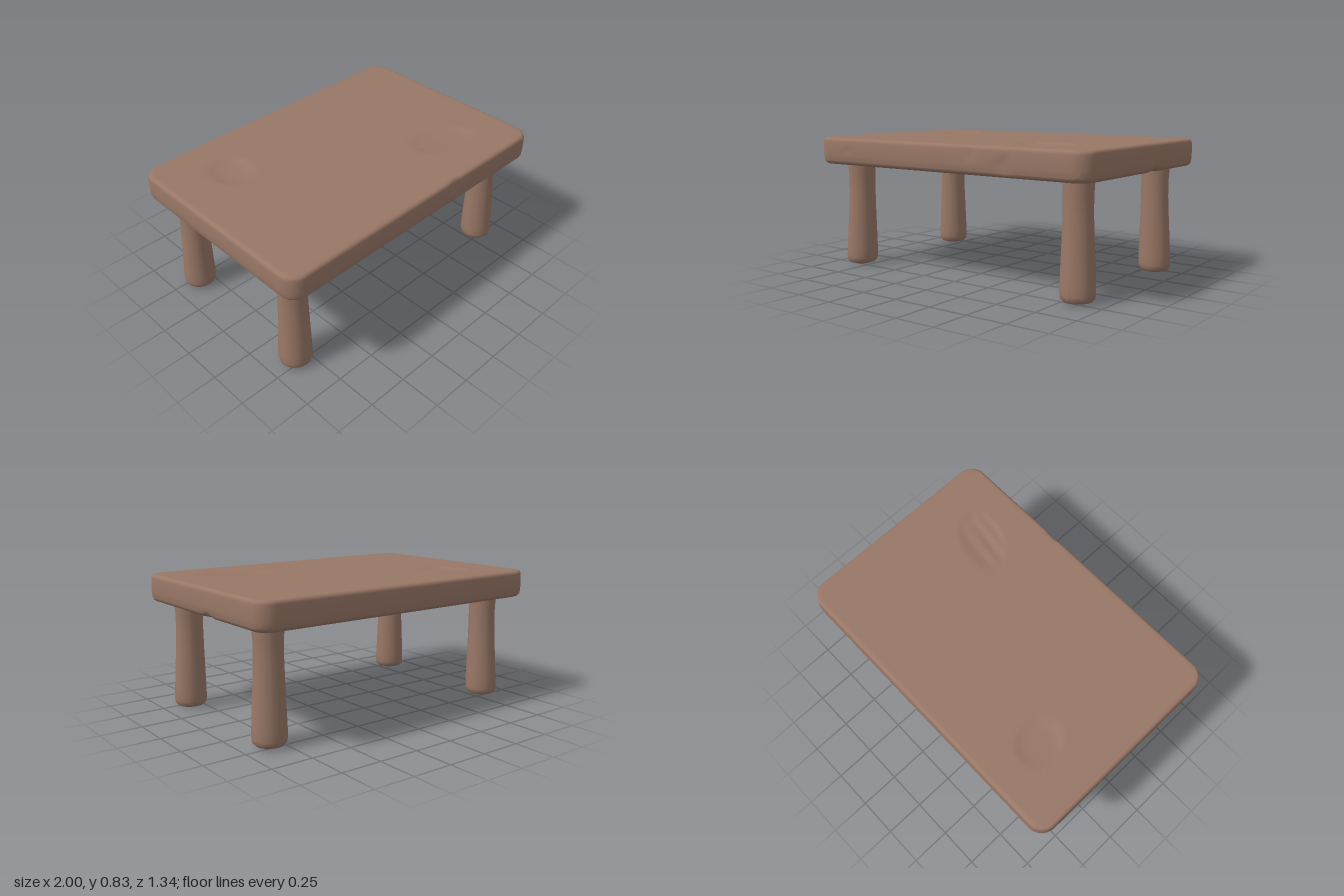
import * as THREE from 'three';
import { toCreasedNormals } from 'three/addons/utils/BufferGeometryUtils.js';

const wood = new THREE.MeshStandardMaterial({ color: 0x987766 });
wood.name = 'brown wood';

const HX = 0.997, HZ = 0.668, CORNER = 0.1;

// Rounded rectangle outline: points with outward normals, dense along the edges
function outline() {
  const pts = [];
  const corners = [[1, 1, 0], [-1, 1, 1], [-1, -1, 2], [1, -1, 3]];
  corners.forEach(([sx, sz, q], k) => {
    const cx = sx * (HX - CORNER), cz = sz * (HZ - CORNER);
    for (let i = 0; i <= 8; i++) {
      const a = (q + i / 8) * Math.PI / 2;
      const nx = Math.cos(a), nz = Math.sin(a);
      pts.push({ x: cx + CORNER * nx, z: cz + CORNER * nz, nx, nz });
    }
    const last = pts[pts.length - 1];
    const [tx, tz] = corners[(k + 1) % 4];
    const ex = tx * (HX - CORNER) + CORNER * last.nx, ez = tz * (HZ - CORNER) + CORNER * last.nz;
    const n = k % 2 ? 30 : 44;
    for (let i = 1; i < n; i++) {
      const t = i / n;
      pts.push({ ...last, x: last.x + (ex - last.x) * t, z: last.z + (ez - last.z) * t });
    }
  });
  return pts;
}

// Shallow hollows and worn nicks: centre, radii, turn about y, push, ripple
const dents = [
  { c: [-0.61, 0.83, -0.31], r: [0.13, 0.1, 0.15], turn: 0, push: [0, -0.014, 0], ripple: 0 },
  { c: [0.54, 0.83, 0.33], r: [0.22, 0.1, 0.13], turn: 0.3, push: [0, -0.013, 0], ripple: 0.3 },
  { c: [0.26, 0.8, 0.668], r: [0.05, 0.06, 0.06], turn: 0, push: [0, 0, -0.007], ripple: 0 },
  { c: [0.48, 0.73, 0.668], r: [0.04, 0.06, 0.06], turn: 0, push: [0, 0, -0.009], ripple: 0 },
  { c: [-0.72, 0.75, 0.668], r: [0.03, 0.025, 0.05], turn: 0, push: [0, 0, -0.007], ripple: 0 },
  { c: [0.997, 0.67, -0.11], r: [0.06, 0.03, 0.05], turn: 0, push: [-0.006, 0.006, 0], ripple: 0 },
];

function wear(p) {
  const q = p.slice();
  for (const d of dents) {
    const dx = p[0] - d.c[0], dz = p[2] - d.c[2];
    const u = dx * Math.cos(d.turn) + dz * Math.sin(d.turn);
    const v = dz * Math.cos(d.turn) - dx * Math.sin(d.turn);
    const s = (u / d.r[0]) ** 2 + ((p[1] - d.c[1]) / d.r[1]) ** 2 + (v / d.r[2]) ** 2;
    if (s >= 1) continue;
    const w = (1 - s * s) * (1 + d.ripple * Math.sin(v * 70 + u * 12));
    for (let k = 0; k < 3; k++) q[k] += d.push[k] * w;
  }
  return q;
}

// Table top: hollow below, with a rounded lip, rounded sides and a worn upper face
function topGeometry() {
  const edge = outline(), n = edge.length, rings = [];
  const under = 0.755, bottom = 0.664, top = 0.832, low = 0.036, high = 0.024;
  const addRing = (inset, y, scale = 1) => rings.push(edge.map((e) =>
    wear([(e.x - e.nx * inset) * scale, y, (e.z - e.nz * inset) * scale])));
  addRing(0.075, under, 0);
  addRing(0.075, under);
  for (let i = 0; i <= 12; i++) {
    const a = i / 12 * Math.PI;
    addRing(low * (1 + Math.cos(a)), bottom + low * (1 - Math.sin(a)));
  }
  for (const y of [0.725, 0.75, 0.775]) addRing(-0.002, y);
  for (let i = 0; i <= 5; i++) {
    const a = i / 5 * Math.PI / 2;
    addRing(high * (1 - Math.cos(a)), top - high * (1 - Math.sin(a)));
  }
  for (let i = 39; i >= 0; i--) addRing(high, top, i / 40);

  const index = [];
  for (let i = 0; i < rings.length - 1; i++) {
    for (let j = 0; j < n; j++) {
      const a = i * n + j, b = i * n + (j + 1) % n;
      if (i < rings.length - 2) index.push(b, a + n, b + n);
      if (i > 0) index.push(a, a + n, b);
    }
  }
  // The first ring is a single point, so its fan needs only the outer triangles
  const g = new THREE.BufferGeometry();
  g.setAttribute('position', new THREE.Float32BufferAttribute(rings.flat(2), 3));
  g.setIndex(index);
  return toCreasedNormals(g, 0.8);
}

// Leg: turned post, slightly waisted, with a rounded foot that leans outward
function legGeometry() {
  const profile = [[0, 0], [0.05, 0.003], [0.08, 0.012], [0.094, 0.026], [0.099, 0.05], [0.098, 0.1],
    [0.093, 0.22], [0.087, 0.36], [0.083, 0.48], [0.083, 0.58], [0.087, 0.65], [0.087, 0.76]];
  const g = new THREE.LatheGeometry(profile.map(([r, y]) => new THREE.Vector2(r, y)), 32);
  const p = g.attributes.position;
  for (let i = 0; i < p.count; i++) {
    const lean = 0.008 * Math.max(0, 1 - p.getY(i) / 0.5);
    p.setX(i, p.getX(i) + lean);
    p.setZ(i, p.getZ(i) + lean);
  }
  g.computeVertexNormals();
  return g;
}

// Collar: flared socket around the head of a leg, cut lower on its inner side
function collarGeometry() {
  const profile = [[0.08, 0.66], [0.098, 0.654], [0.108, 0.657], [0.113, 0.667], [0.115, 0.68], [0.122, 0.77]];
  const g = new THREE.LatheGeometry(profile.map(([r, y]) => new THREE.Vector2(r, y)), 32);
  const p = g.attributes.position;
  for (let i = 0; i < p.count; i++) p.setY(i, p.getY(i) + 0.07 * (p.getX(i) + p.getZ(i)));
  g.computeVertexNormals();
  return g;
}

export function createModel() {
  const model = new THREE.Group();
  model.name = 'table';
  const add = (name, geometry, parent) => {
    const mesh = new THREE.Mesh(geometry, wood);
    mesh.name = name;
    parent.add(mesh);
  };
  add('tableTop', topGeometry(), model);

  const leg = legGeometry(), collar = collarGeometry();
  for (const sx of [1, -1]) {
    for (const sz of [1, -1]) {
      const group = new THREE.Group();
      group.name = (sz > 0 ? 'front' : 'back') + (sx > 0 ? 'Left' : 'Right') + 'Leg';
      group.position.set(sx * 0.821, 0, sz * 0.455);
      group.scale.set(sx, 1, sz);
      add('post', leg, group);
      add('collar', collar, group);
      model.add(group);
    }
  }
  return model;
}
